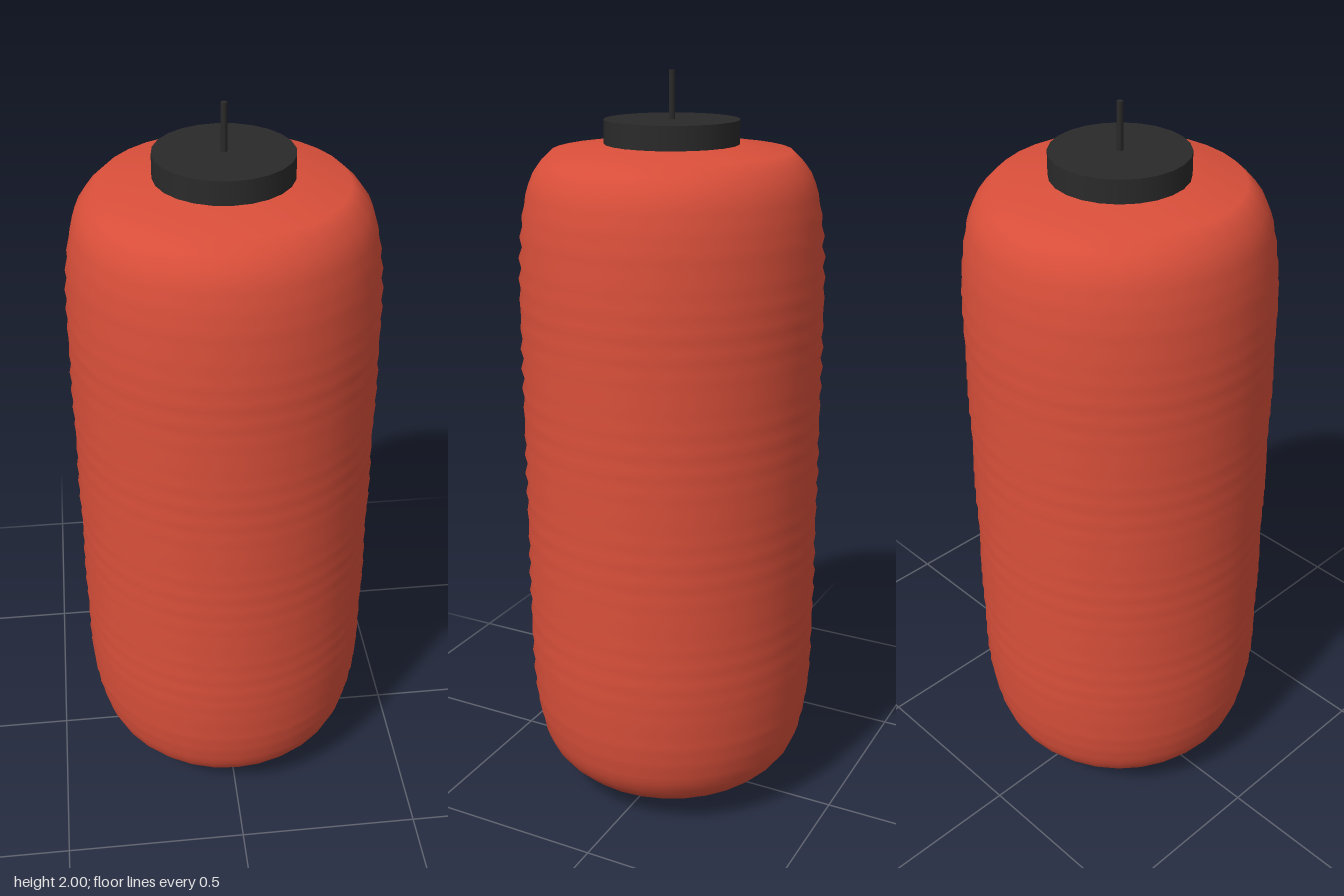
import * as THREE from 'three';

const MID = 0.94; // height of the shade's centre

// Half profile of the shade: [distance from centre height, radius]
const SHOULDER = [[0, 0.4], [0.5, 0.4], [0.58, 0.397], [0.68, 0.39], [0.76, 0.376], [0.82, 0.354], [0.864, 0.308]];

function shadeRadius(y) {
  const d = Math.abs(y - MID);
  for (let i = 1; i < SHOULDER.length; i++) {
    const [d0, r0] = SHOULDER[i - 1], [d1, r1] = SHOULDER[i];
    if (d <= d1 + 1e-6) return r0 + (r1 - r0) * (d - d0) / (d1 - d0);
  }
  return SHOULDER[SHOULDER.length - 1][1];
}

export function createModel() {
  const group = new THREE.Group();
  const paper = new THREE.MeshStandardMaterial({ color: 0xd94f3a });
  const black = new THREE.MeshStandardMaterial({ color: 0x2a2a2a });

  const add = (name, geometry, material, y = 0) => {
    const mesh = new THREE.Mesh(geometry, material);
    mesh.name = name;
    mesh.position.y = y;
    group.add(mesh);
  };

  // Paper shade: fine ribs that swell and fade in bands along the height
  const steps = 64, half = 0.864;
  const profile = [new THREE.Vector2(0.17, 0.06)];
  for (let i = 0; i <= steps; i++) {
    const u = i / steps - 0.5;
    const y = MID + 2 * half * u;
    const fade = Math.min(1, (0.5 - Math.abs(u)) / 0.08);
    const rib = 0.004 * fade * Math.cos(2 * Math.PI * 29.14 * u);
    profile.push(new THREE.Vector2(shadeRadius(y) + rib, y));
  }
  profile.push(new THREE.Vector2(0.17, 1.82));
  add('paperShade', new THREE.LatheGeometry(profile, 32), paper);

  // End caps, sunk slightly into the shade
  const cap = new THREE.CylinderGeometry(0.174, 0.174, 0.08, 24);
  add('bottomCap', cap, black, 0.04);
  add('topCap', cap, black, 1.84);

  // Hanging wire
  add('hangingWire', new THREE.CylinderGeometry(0.008, 0.008, 0.14, 8), black, 1.93);

  return group;
}
